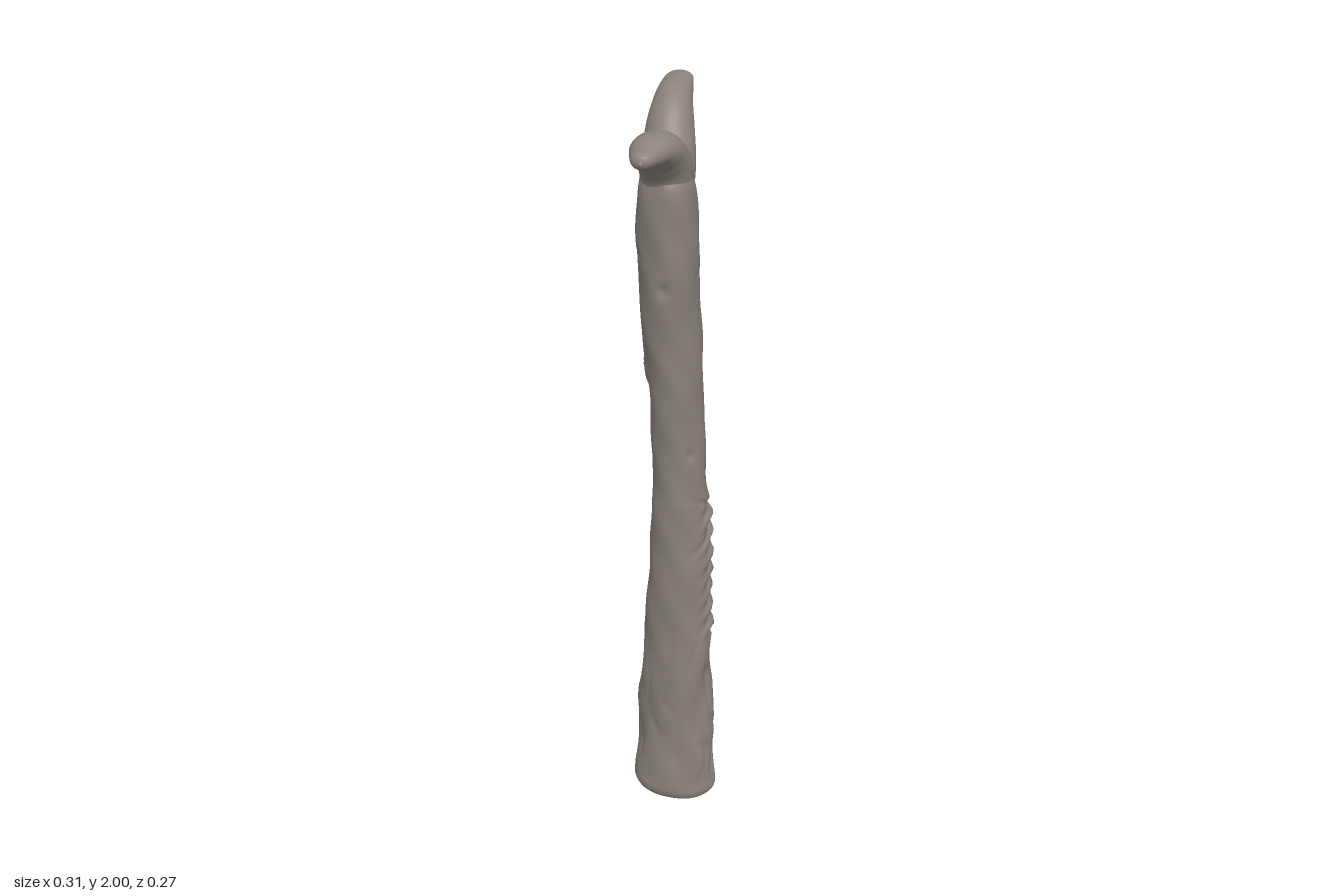
import * as THREE from 'three';

const wood = new THREE.MeshStandardMaterial({ color: 0x89817a });
wood.name = 'weathered wood';

// Closed skin over rings; pointAt(t, angle) gives a point for t from 0 to 1
function loft(name, rows, cols, pointAt) {
  const pos = [], index = [];
  for (let i = 0; i <= rows; i++) {
    for (let j = 0; j < cols; j++) pos.push(...pointAt(i / rows, (j / cols) * Math.PI * 2));
  }
  for (let i = 0; i < rows; i++) {
    for (let j = 0; j < cols; j++) {
      const a = i * cols + j, b = i * cols + (j + 1) % cols;
      index.push(a, a + cols, b, a + cols, b + cols, b);
    }
  }
  const g = new THREE.BufferGeometry();
  g.setAttribute('position', new THREE.Float32BufferAttribute(pos, 3));
  g.setIndex(index);
  g.computeVertexNormals();
  const mesh = new THREE.Mesh(g, wood);
  mesh.name = name;
  return mesh;
}

const curve = (list) => new THREE.CatmullRomCurve3(list.map((p) => new THREE.Vector3(...p)), false, 'catmullrom', 0.5);
const bump = (v, centre, width) => Math.exp(-(((v - centre) / width) ** 2));
const ramp = THREE.MathUtils.smoothstep;
const wrap = (a) => Math.atan2(Math.sin(a), Math.cos(a));

// Post sections: height, centre x, centre z, half width x, half width z, diagonal stretch
const sections = [
  [0.005, 0.024, 0.02, 0.001, 0.001, 0.3], [0.006, 0.024, 0.02, 0.068, 0.08, 0.3],
  [0.03, 0.022, 0.02, 0.09, 0.107, 0.33], [0.08, 0.026, 0.018, 0.092, 0.108, 0.33],
  [0.2, 0.035, 0.012, 0.086, 0.106, 0.3], [0.4, 0.038, 0.012, 0.08, 0.097, 0.25],
  [0.6, 0.047, 0.011, 0.08, 0.089, 0.14], [0.8, 0.05, 0.013, 0.078, 0.081, 0.06],
  [0.92, 0.049, 0.012, 0.075, 0.076, 0.03], [1.0, 0.043, 0.01, 0.069, 0.071, 0],
  [1.2, 0.033, 0.011, 0.068, 0.07, 0], [1.4, 0.019, 0.008, 0.074, 0.073, 0],
  [1.6, 0.007, 0.011, 0.074, 0.077, 0], [1.75, 0.004, 0.012, 0.07, 0.073, 0],
  [1.81, 0.004, 0.01, 0.057, 0.058, 0], [1.85, 0.003, 0.006, 0.04, 0.04, 0],
  [1.87, 0.003, 0.005, 0.001, 0.001, 0],
];

// Carved and weathered relief, as a change of radius
function relief(y, a) {
  let d = 0.0018 * Math.sin(3 * a + 5 * y) + 0.0015 * Math.sin(23 * y + 2 * a) + 0.001 * Math.sin(5 * a - 37 * y);
  // Split bark near the foot, deepest on the left side
  const bark = (1 - ramp(y, 0.42, 0.62)) * ramp(y, 0.03, 0.12);
  const side = 0.35 + 0.65 * bump(wrap(a - 0.1), 0, 1.2);
  const crack = Math.sin(9 * a + 2.5 * Math.sin(11 * y) + 1.2 * Math.sin(29 * y + 3 * a));
  d -= bark * side * 0.011 * Math.max(0, crack - 0.3) * (0.6 + 0.4 * Math.sin(31 * y + 7 * a));
  d += bark * 0.002 * Math.sin(4 * a + 18 * y);
  // Slanting ribs on the front left
  const ribs = ramp(y, 0.5, 0.56) * (1 - ramp(y, 0.9, 0.95));
  const off = wrap(a - 0.75);
  const wave = Math.sin((y + 0.03 * off + 0.006 * Math.sin(5 * a)) * 115);
  d += ribs * bump(off, 0, 0.5) * (0.008 * Math.max(-0.6, wave) - 0.004);
  // Long upper notches of the ribbed patch
  d -= 0.009 * bump(y + 0.05 * off, 0.85, 0.011) * bump(off, 0.15, 0.75);
  d -= 0.007 * bump(y - 0.03 * off, 0.92, 0.01) * bump(off, 0.1, 0.6);
  // Ring scar on the back, and small pits
  const r = Math.hypot(wrap(a + 2.25) * 0.07, y - 1.29);
  d += 0.005 * bump(r, 0.026, 0.009) - 0.004 * bump(r, 0, 0.015);
  for (const [py, pa] of [[1.08, 1.7], [1.55, 0.8], [1.53, 2.4], [0.8, -0.6], [0.72, -0.9], [1.6, -2.7]]) {
    d -= 0.007 * bump(Math.hypot(wrap(a - pa) * 0.07, y - py), 0, 0.013);
  }
  return d;
}

function makePost() {
  const centre = curve(sections.map((s) => [s[1], s[0], s[2]]));
  const size = curve(sections.map((s) => [s[3], s[5], s[4]]));
  return loft('post', 320, 96, (t, a) => {
    const c = centre.getPoint(t), s = size.getPoint(t);
    const skew = Math.asin(THREE.MathUtils.clamp(s.y, 0, 0.9));
    const k = 1 + relief(c.y, a) / 0.075;
    return [c.x + s.x * k * Math.cos(a), Math.max(0, c.y), c.z + s.z * k * Math.sin(a + skew)];
  });
}

// Prong stations: distance along the fork, height, sideways shift, half thickness, half breadth
function makeProng(name, stations) {
  const path = curve(stations.map((s) => [s[0], s[1], s[2]]));
  const size = curve(stations.map((s) => [s[3], s[4], 0]));
  const h = Math.SQRT1_2;
  return loft(name, 48, 40, (t, a) => {
    const c = path.getPoint(t), s = size.getPoint(t), d = path.getTangent(t);
    const len = Math.hypot(d.x, d.y);
    const p = s.x * Math.cos(a) / len;
    const u = c.x + d.y * p, w = c.z + s.y * Math.sin(a);
    return [(u + w) * h, c.y - d.x * p, (w - u) * h];
  });
}

export function createModel() {
  const model = new THREE.Group();
  model.name = 'forkedPost';
  model.add(
    makePost(),
    makeProng('tallProng', [
      [0, 1.72, 0.01, 0.055, 0.06], [0.018, 1.82, 0.01, 0.056, 0.064], [0.055, 1.89, 0.006, 0.053, 0.058],
      [0.1, 1.943, 0.005, 0.043, 0.047], [0.148, 1.974, 0.007, 0.026, 0.038],
      [0.178, 1.984, 0.009, 0.016, 0.028], [0.19, 1.986, 0.009, 0.001, 0.001],
    ]),
    makeProng('shortProng', [
      [0, 1.72, 0.01, 0.055, 0.06], [-0.018, 1.81, 0.01, 0.06, 0.064], [-0.06, 1.855, 0.004, 0.054, 0.062],
      [-0.108, 1.874, -0.002, 0.042, 0.056], [-0.15, 1.871, -0.01, 0.028, 0.04],
      [-0.184, 1.866, -0.016, 0.017, 0.022], [-0.194, 1.865, -0.016, 0.001, 0.001],
    ]),
  );
  return model;
}
